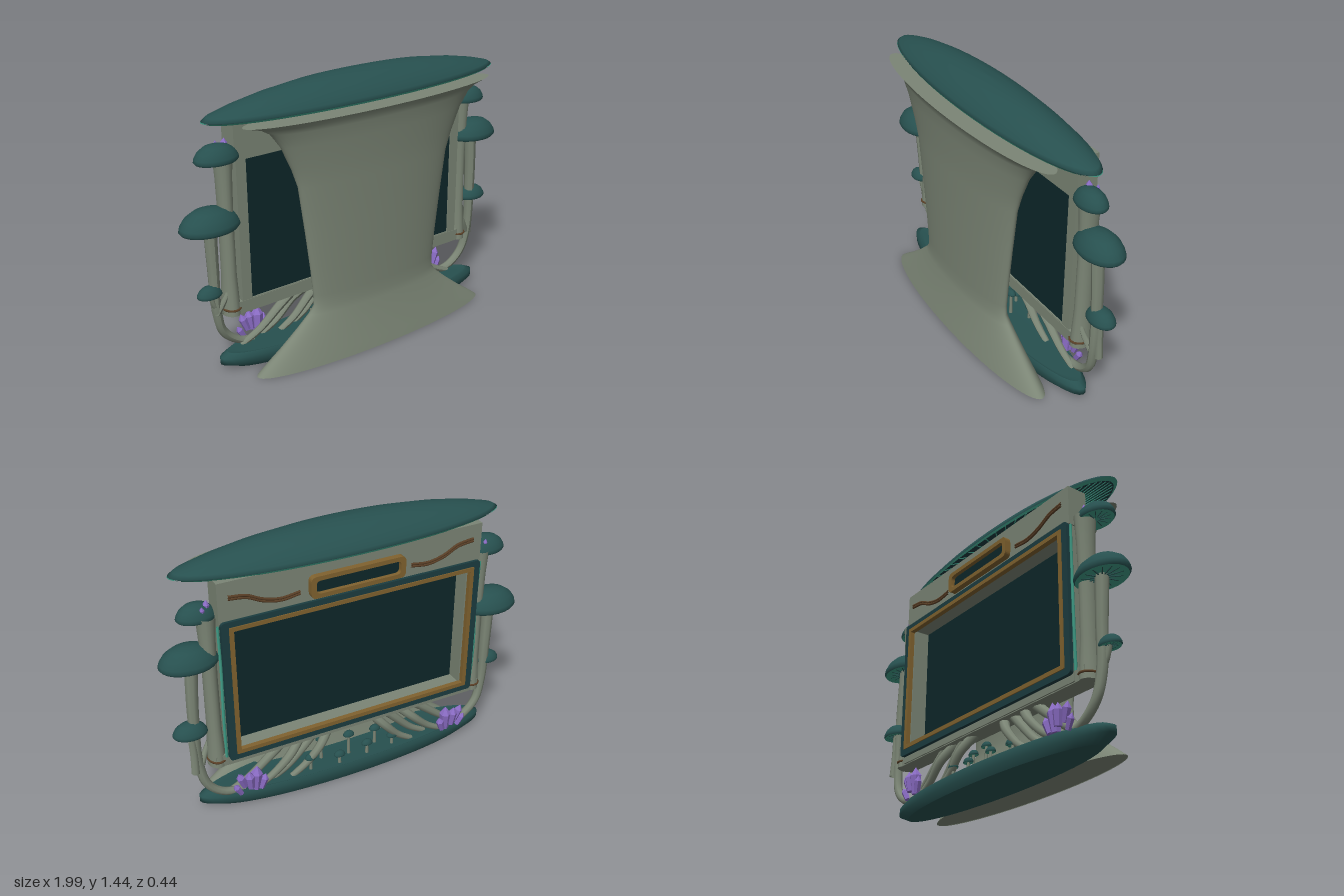
import * as THREE from 'three';

const mat = (name, color) => new THREE.MeshStandardMaterial({ name, color, side: THREE.DoubleSide });
const bark = mat('bark', 0x7b8575);
const capTeal = mat('deepTeal', 0x27504f);
const glow = mat('gillTeal', 0x3f9c86);
const dark = mat('darkGlass', 0x0d2729);
const frameDark = mat('frameTeal', 0x1b3c40);
const gold = mat('gold', 0x80622f);
const brown = mat('brown', 0x5b4027);
const purple = mat('crystal', 0x8a6cc4);

const V = (x, y, z) => new THREE.Vector3(x, y, z);

function add(parent, name, geo, material, x = 0, y = 0, z = 0) {
  const m = new THREE.Mesh(geo, material);
  m.name = name;
  m.position.set(x, y, z);
  parent.add(m);
  return m;
}

// Lathe squashed along z; points run from bottom to top
function lathe(pts, zScale, seg = 32) {
  return new THREE.LatheGeometry(pts.map(p => new THREE.Vector2(p[0], p[1])), seg).scale(1, 1, zScale);
}

// Tube whose radius runs from r0 to r1
function taperTube(points, r0, r1, seg = 20, sides = 8) {
  const curve = new THREE.CatmullRomCurve3(points);
  const geo = new THREE.TubeGeometry(curve, seg, 1, sides);
  const pos = geo.attributes.position, v = V(0, 0, 0);
  for (let i = 0; i <= seg; i++) {
    const c = curve.getPointAt(i / seg), r = r0 + (r1 - r0) * i / seg;
    for (let j = 0; j <= sides; j++) {
      const k = i * (sides + 1) + j;
      v.fromBufferAttribute(pos, k).sub(c).multiplyScalar(r).add(c);
      pos.setXYZ(k, v.x, v.y, v.z);
    }
  }
  geo.computeVertexNormals();
  return geo;
}

function roundRect(P, x0, y0, x1, y1, r) {
  const s = new P();
  s.moveTo(x0 + r, y0).lineTo(x1 - r, y0).quadraticCurveTo(x1, y0, x1, y0 + r);
  s.lineTo(x1, y1 - r).quadraticCurveTo(x1, y1, x1 - r, y1);
  s.lineTo(x0 + r, y1).quadraticCurveTo(x0, y1, x0, y1 - r);
  s.lineTo(x0, y0 + r).quadraticCurveTo(x0, y0, x0 + r, y0);
  return s;
}

// Rectangular ring, half widths w (outer) and iw (inner), from z0 to z1
function ring(w, y0, y1, iw, iy0, iy1, z0, z1, r = 0.005) {
  const s = roundRect(THREE.Shape, -w, y0, w, y1, r);
  s.holes.push(roundRect(THREE.Path, -iw, iy0, iw, iy1, r * 0.8));
  return new THREE.ExtrudeGeometry(s, { depth: z1 - z0, bevelEnabled: false, curveSegments: 6 }).translate(0, 0, z0);
}

// Mushroom cap: dome, pale underside and radial gills; y is the rim
function mushroomCap(parent, x, y, z, r, h, gills = 14) {
  const g = new THREE.Group();
  g.name = 'mushroomCap';
  g.position.set(x, y, z);
  g.scale.z = 0.7;
  parent.add(g);
  add(g, 'dome', lathe([[0.93 * r, 0], [r, 0.12 * h], [0.97 * r, 0.3 * h], [0.82 * r, 0.62 * h],
    [0.55 * r, 0.88 * h], [0.25 * r, 0.985 * h], [0, h]], 1, 24), capTeal);
  add(g, 'underside', lathe([[0, 0.18 * h], [0.93 * r, 0]], 1, 24), glow);
  for (let i = 0; i < gills; i++) {
    const gill = add(g, 'gill', new THREE.BoxGeometry(0.7 * r, 0.05 * h, 0.035 * r).translate(0.55 * r, 0.06 * h, 0), capTeal);
    gill.rotation.y = i / gills * Math.PI * 2;
  }
}

function crystal(parent, x, y, z, r, h, tiltX, tiltZ) {
  const geo = lathe([[0, 0], [0.75 * r, 0], [r, 0.68 * h], [0, h]], 1, 6).toNonIndexed();
  geo.computeVertexNormals();
  const m = add(parent, 'crystal', geo, purple, x, y, z);
  m.rotation.set(tiltX, 0, tiltZ);
}

export function createModel() {
  const root = new THREE.Group();
  root.name = 'mushroomScreenStand';

  // Flared oval trunk at the front
  const profile = [[0.735, 0], [0.67, 0.05], [0.6, 0.1], [0.5, 0.18], [0.42, 0.25], [0.39, 0.29], [0.39, 0.35], [0.405, 0.5],
    [0.43, 0.7], [0.465, 0.95], [0.5, 1.05], [0.555, 1.17], [0.61, 1.245], [0.66, 1.275], [0.75, 1.3]];
  add(root, 'trunk', lathe(profile, 0.173, 64), bark, 0, 0, 0.095);
  add(root, 'trunkTop', lathe([[0.75, 1.3], [0, 1.3]], 0.173, 64), bark, 0, 0, 0.095);
  add(root, 'trunkFoot', lathe([[0, 0.003], [0.73, 0.003]], 0.173, 64), bark, 0, 0, 0.095);

  // Oval base
  const base = new THREE.Group();
  base.name = 'base';
  base.position.z = -0.073;
  root.add(base);
  add(base, 'baseUnderside', lathe([[0, 0], [0.76, 0]], 0.17, 48), capTeal);
  add(base, 'baseSide', lathe([[0.76, 0], [0.845, 0.035], [0.845, 0.07], [0.8, 0.09]], 0.17, 48), capTeal);
  add(base, 'baseTop', lathe([[0.8, 0.09], [0.74, 0.082], [0, 0.082]], 0.17, 48), capTeal);

  // Large canopy
  const canopy = new THREE.Group();
  canopy.name = 'canopy';
  canopy.position.set(0, 1.31, -0.035);
  root.add(canopy);
  add(canopy, 'canopyDome', lathe([[0.86, 0], [0.885, 0.012], [0.86, 0.028], [0.76, 0.055], [0.62, 0.083], [0.42, 0.11],
    [0.22, 0.123], [0, 0.127]], 0.2, 64), capTeal);
  add(canopy, 'canopyUnderside', lathe([[0, 0.012], [0.86, 0]], 0.2, 64), frameDark);
  add(canopy, 'canopyRim', lathe([[0.862, -0.002], [0.887, 0.008]], 0.2, 64), glow);
  for (let i = 0; i < 64; i++) {
    const a = i / 64 * Math.PI * 2, c = Math.cos(a), s = Math.sin(a) * 0.2;
    const gill = add(canopy, 'canopyGill', new THREE.BoxGeometry(0.26 * Math.hypot(c, s), 0.006, 0.005), glow, 0.72 * c, 0.001, 0.72 * s);
    gill.rotation.y = -Math.atan2(s, c);
  }

  // Screen housing, recessed screen and trims, facing the back
  add(root, 'header', new THREE.BoxGeometry(1.42, 0.21, 0.11), bark, 0, 1.205, -0.12);
  add(root, 'housing', ring(0.705, 0.29, 1.1, 0.65, 0.355, 1.09, -0.17, -0.065), bark);
  add(root, 'lowerBeam', new THREE.BoxGeometry(1.54, 0.066, 0.1), bark, 0, 0.318, -0.113);
  add(root, 'screen', new THREE.BoxGeometry(1.31, 0.745, 0.008), dark, 0, 0.722, -0.076);
  add(root, 'outerTrim', ring(0.705, 0.325, 1.11, 0.665, 0.36, 1.078, -0.19, -0.165, 0.02), frameDark);
  add(root, 'goldTrim', ring(0.668, 0.358, 1.08, 0.645, 0.38, 1.058, -0.195, -0.168), gold);
  add(root, 'innerReveal', ring(0.65, 0.355, 1.09, 0.638, 0.37, 1.068, -0.17, -0.082), bark);

  // Header plaque
  add(root, 'plaqueFrame', ring(0.255, 1.13, 1.245, 0.228, 1.153, 1.222, -0.207, -0.174, 0.03), gold);
  const plate = new THREE.ShapeGeometry(roundRect(THREE.Shape, -0.24, 1.14, 0.24, 1.235, 0.025));
  add(root, 'plaquePanel', plate.rotateY(Math.PI), dark, 0, 0, -0.185);

  // Features mirrored on both sides
  for (const s of [-1, 1]) {
    const side = new THREE.Group();
    side.name = s > 0 ? 'leftSide' : 'rightSide';
    root.add(side);
    const P = (x, y, z) => V(s * x, y, z);

    // Wavy vine on the header
    for (const d of [0, 0.012])
      add(side, 'vine', taperTube([P(0.66, 1.235 - d, -0.178), P(0.57, 1.222 - d, -0.178), P(0.49, 1.185 - d, -0.18),
        P(0.4, 1.165 - d, -0.18), P(0.3, 1.175 - d, -0.178)], 0.007, 0.006, 24, 6), brown);

    // Column with ring collar and glowing seam
    const col = lathe([[0.046, 0.285], [0.043, 0.36], [0.036, 0.5], [0.035, 0.8], [0.039, 1.0], [0.046, 1.13]], 1.3, 16);
    add(side, 'column', col, bark, s * 0.75, 0, -0.11);
    add(side, 'columnFoot', lathe([[0, 0.285], [0.046, 0.285]], 1.3, 16), bark, s * 0.75, 0, -0.11);
    add(side, 'collar', new THREE.TorusGeometry(0.045, 0.006, 6, 24).rotateX(Math.PI / 2).scale(1, 1, 1.3), brown, s * 0.75, 0.318, -0.11);
    add(side, 'glowSeam', taperTube([P(0.714, 0.34, -0.165), P(0.718, 0.6, -0.172), P(0.712, 0.85, -0.168), P(0.716, 1.09, -0.172)], 0.008, 0.007, 20, 6), glow);

    // Roots fanning from the housing to the base
    [[0.12, 0.36, -0.15], [0.2, 0.46, -0.12], [0.28, 0.56, -0.15], [0.37, 0.7, -0.115]].forEach(([a, b, z]) =>
      add(side, 'root', taperTube([P(a, 0.3, -0.11), P(a + (b - a) * 0.3, 0.22, z), P(a + (b - a) * 0.65, 0.13, z), P(b, 0.075, z)], 0.027, 0.016), bark));

    // Crystal clusters on the base and atop the column
    [[0.63, 0.13, 0.022, 0.1, -0.35], [0.6, 0.12, 0.026, 0.11, -0.1], [0.57, 0.1, 0.032, 0.145, 0.05],
      [0.545, 0.1, 0.022, 0.09, 0.3], [0.65, 0.09, 0.018, 0.08, -0.5]].forEach(([x, y, r, h, t], i) =>
      crystal(side, s * x, y - 0.01, -0.165 - 0.012 * (i % 2), r, h, -0.08, s * t));
    crystal(side, s * 0.745, 1.13, -0.105, 0.017, 0.075, 0, s * 0.1);
    crystal(side, s * 0.765, 1.13, -0.125, 0.012, 0.06, -0.15, s * -0.1);
  }

  // Side mushrooms: cap x, rim y, z, radius, height
  [[0.785, 1.11, -0.085, 0.098, 0.08], [0.845, 0.885, -0.103, 0.147, 0.105], [0.875, 0.502, -0.12, 0.088, 0.07],
    [-0.795, 1.105, -0.085, 0.114, 0.085], [-0.842, 0.765, -0.103, 0.157, 0.11], [-0.868, 0.415, -0.1, 0.066, 0.055]]
    .forEach(c => mushroomCap(root, ...c));

  // Long stems rising out of the base, and short side stems
  add(root, 'leftStem', taperTube([V(0.62, 0.08, -0.13), V(0.73, 0.1, -0.13), V(0.81, 0.17, -0.125), V(0.845, 0.3, -0.115),
    V(0.85, 0.6, -0.11), V(0.835, 0.91, -0.103)], 0.02, 0.034, 36), bark);
  add(root, 'rightStem', taperTube([V(-0.62, 0.08, -0.13), V(-0.7, 0.1, -0.13), V(-0.79, 0.18, -0.125), V(-0.825, 0.3, -0.115),
    V(-0.835, 0.55, -0.11), V(-0.842, 0.79, -0.103)], 0.02, 0.034, 36), bark);
  add(root, 'leftShortStem', taperTube([V(0.87, 0.27, -0.13), V(0.868, 0.38, -0.125), V(0.875, 0.52, -0.12)], 0.022, 0.018), bark);
  add(root, 'rightShortStem', taperTube([V(-0.8, 0.3, -0.11), V(-0.84, 0.35, -0.105), V(-0.868, 0.43, -0.1)], 0.016, 0.014), bark);
  for (const s of [-1, 1])
    add(root, 'stemSpur', taperTube([V(s * 0.83, 0.3, -0.11), V(s * 0.79, 0.38, -0.09), V(s * 0.76, 0.45, -0.085)], 0.02, 0.008), bark);

  // Little mushrooms growing on the base
  [[-0.24, -0.15, 0.13], [-0.16, -0.1, 0.17], [-0.08, -0.16, 0.14], [0.01, -0.12, 0.2], [0.09, -0.17, 0.13],
    [0.16, -0.09, 0.205], [0.25, -0.15, 0.15]].forEach(([x, z, y]) => {
    mushroomCap(root, x, y, z, 0.032, 0.028, 6);
    add(root, 'littleStem', new THREE.CylinderGeometry(0.007, 0.01, y - 0.07, 8), bark, x, (y + 0.08) / 2, z);
  });

  return root;
}
